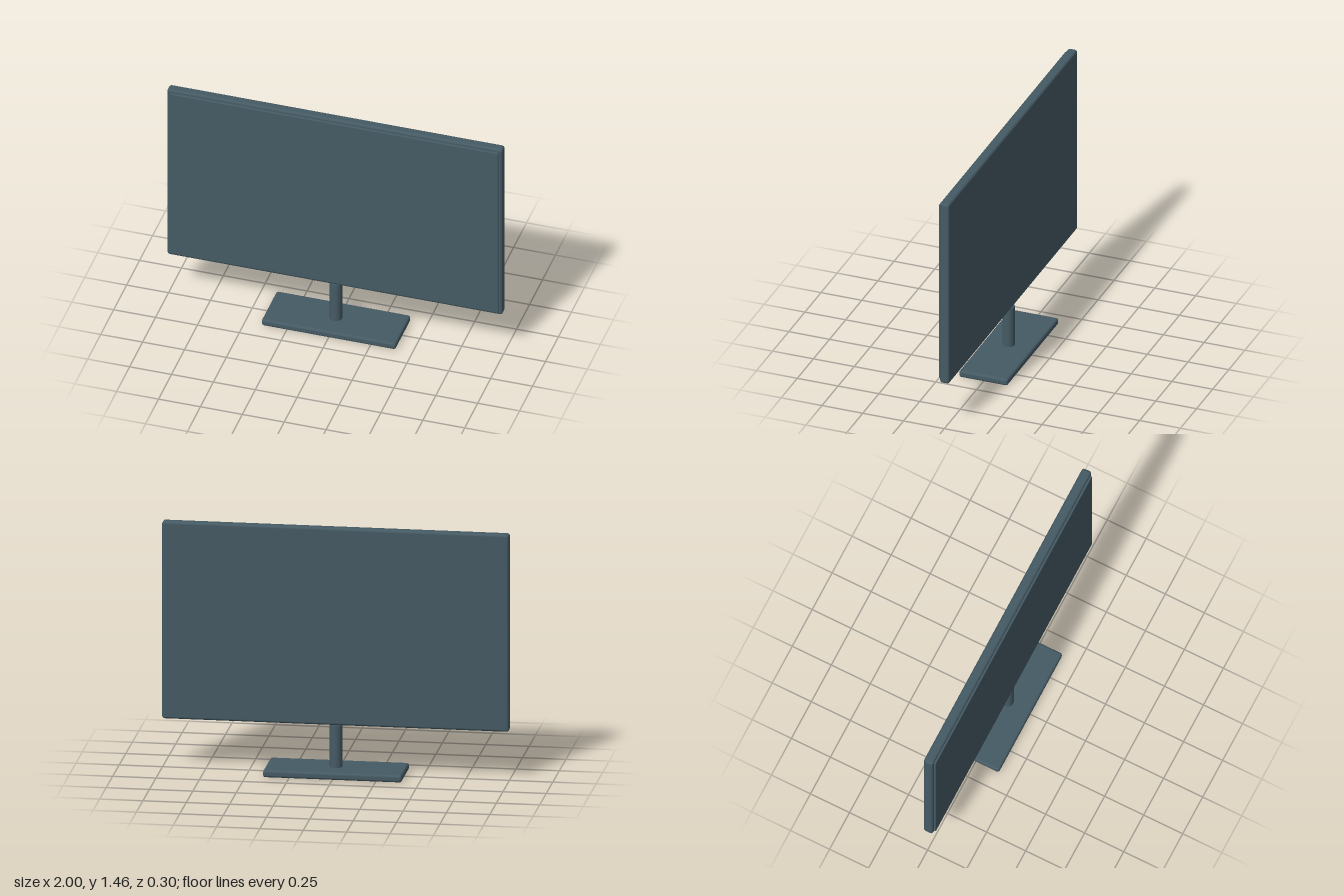
import * as THREE from 'three';
import { RoundedBoxGeometry } from 'three/addons/geometries/RoundedBoxGeometry.js';

export function createModel() {
  const model = new THREE.Group();
  model.name = 'monitor';
  const slate = new THREE.MeshStandardMaterial({ color: 0x455a64 });
  slate.name = 'slate grey';

  const add = (name, geometry, y, z = 0) => {
    const mesh = new THREE.Mesh(geometry, slate);
    mesh.name = name;
    mesh.position.set(0, y, z);
    model.add(mesh);
  };

  // Foot plate and round post
  add('base', new RoundedBoxGeometry(0.8, 0.042, 0.298, 4, 0.014), 0.021);
  add('post', new THREE.CylinderGeometry(0.036, 0.036, 0.255, 32), 0.1645, 0.001);

  // Rounded casing with the display panel standing proud of its front
  add('casing', new RoundedBoxGeometry(2, 1.165, 0.058, 4, 0.015), 0.8735, 0.001);
  add('screen', new RoundedBoxGeometry(1.96, 1.125, 0.024, 3, 0.005), 0.8735, 0.03);

  return model;
}
